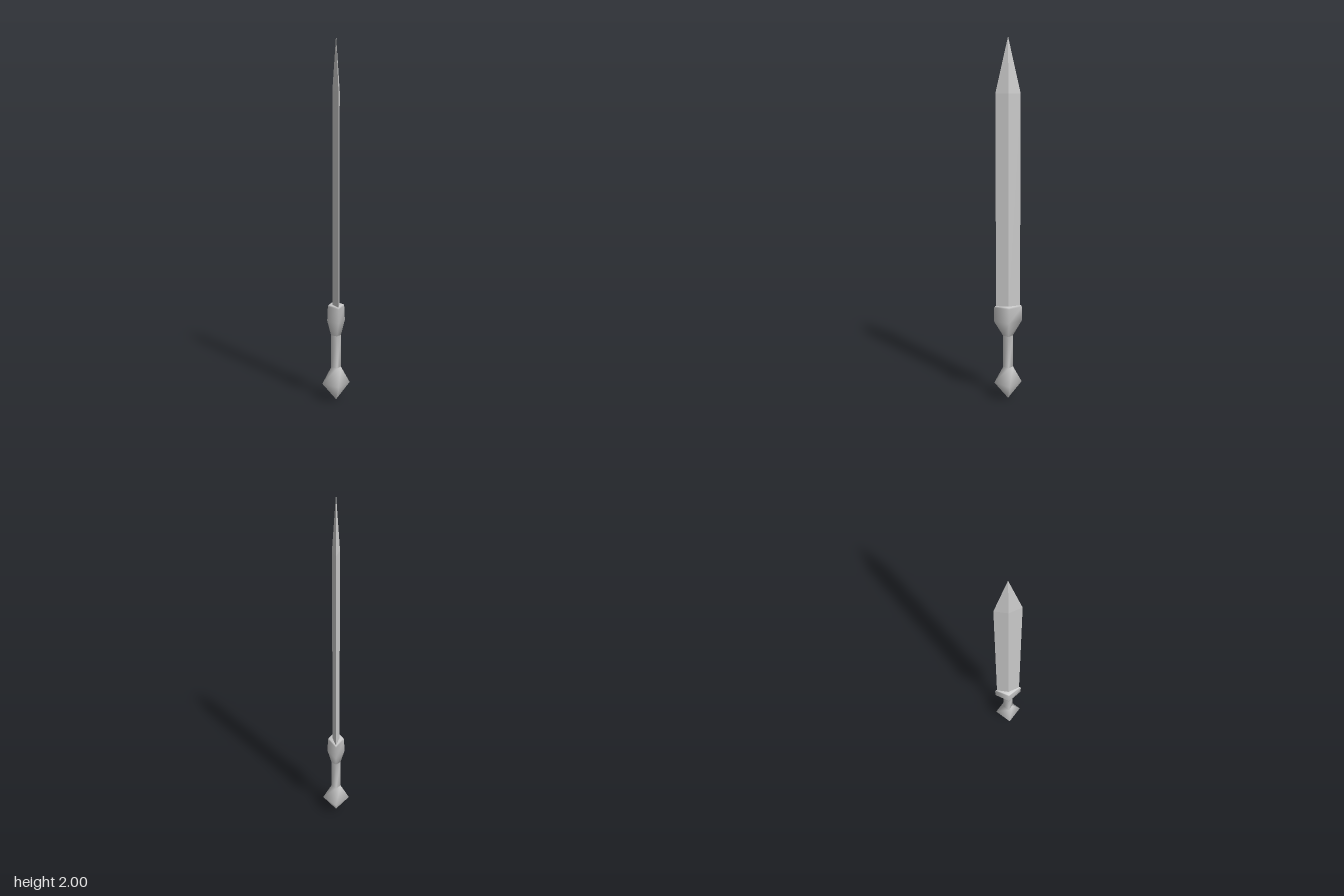
import * as THREE from 'three';

// Lofts diamond cross-sections [y, halfX, halfZ] from bottom to top.
function diamondLoft(name, rings, flat = false) {
  const pos = [], idx = [];
  for (const [y, hx, hz] of rings) {
    pos.push(hx, y, 0, 0, y, hz, -hx, y, 0, 0, y, -hz);
  }
  for (let r = 0; r < rings.length - 1; r++) {
    for (let i = 0; i < 4; i++) {
      const a = r * 4 + i, b = r * 4 + (i + 1) % 4;
      if (rings[r][1] > 0) idx.push(a, a + 4, b);
      if (rings[r + 1][1] > 0) idx.push(b, a + 4, b + 4);
      else if (rings[r][1] === 0) continue;
    }
  }
  let geo = new THREE.BufferGeometry();
  geo.setAttribute('position', new THREE.Float32BufferAttribute(pos, 3));
  geo.setIndex(idx);
  if (flat) geo = geo.toNonIndexed();
  geo.computeVertexNormals();
  const mat = new THREE.MeshStandardMaterial({ color: 0xcccccc, flatShading: flat, side: THREE.DoubleSide });
  const mesh = new THREE.Mesh(geo, mat);
  mesh.name = name;
  return mesh;
}

export function createModel() {
  const sword = new THREE.Group();
  sword.name = 'sword';

  sword.add(
    // Faceted pommel, pointed at the bottom
    diamondLoft('pommel', [
      [0, 0, 0], [0.097, 0.078, 0.078], [0.19, 0.028, 0.028], [0.19, 0, 0],
    ]),
    // Slim grip
    diamondLoft('grip', [[0.19, 0.028, 0.028], [0.375, 0.028, 0.028]]),
    // Flared guard, closed around the blade
    diamondLoft('guard', [
      [0.375, 0, 0], [0.375, 0.028, 0.028], [0.46, 0.05, 0.078],
      [0.54, 0.046, 0.078], [0.549, 0.042, 0.072], [0.55, 0, 0],
    ]),
    // Blade with central ridges and a tapered tip
    diamondLoft('blade', [
      [0.53, 0.02, 0.067], [1.71, 0.02, 0.067], [2, 0, 0],
    ], true),
  );
  return sword;
}
